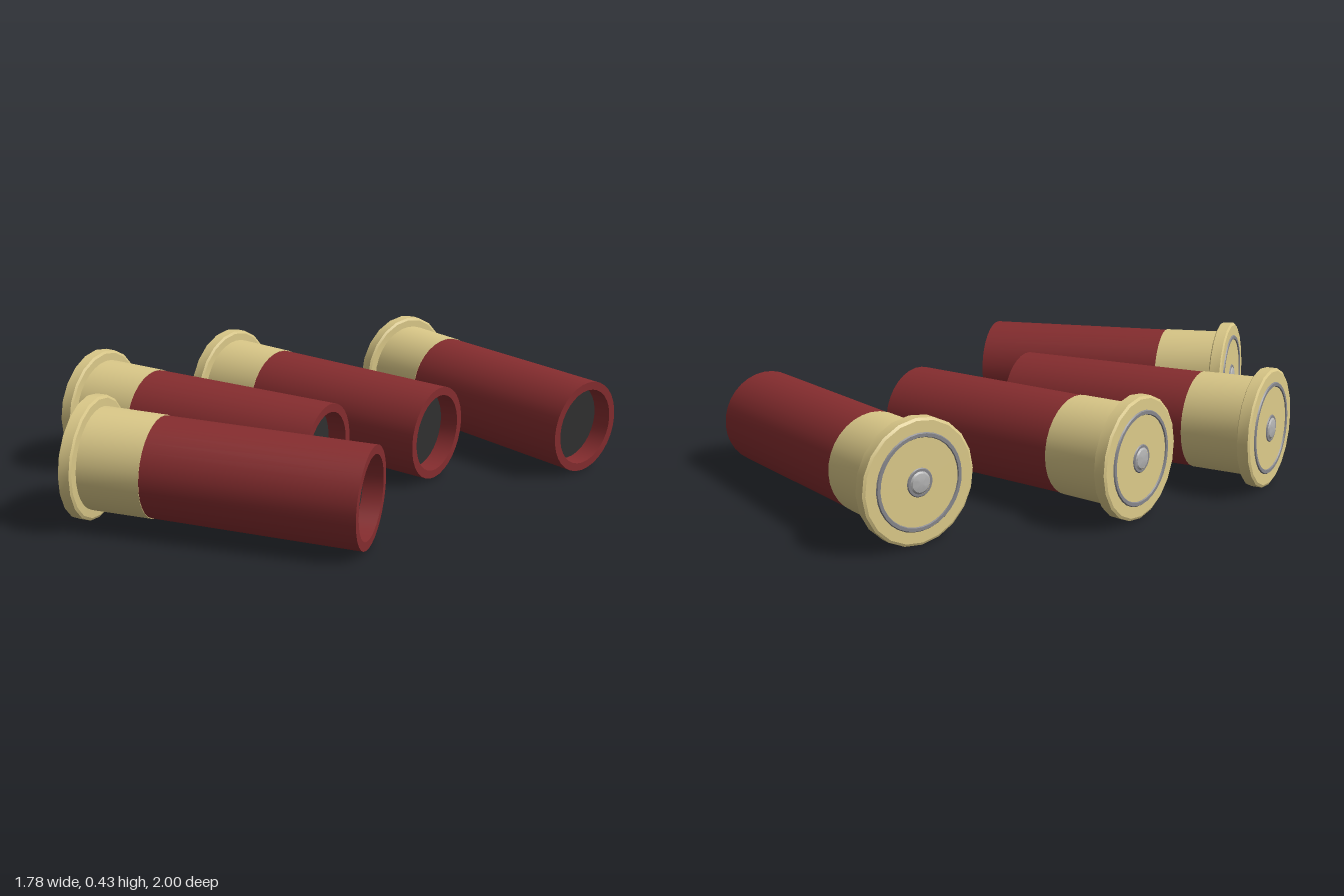
import * as THREE from 'three';
import { toCreasedNormals } from 'three/addons/utils/BufferGeometryUtils.js';

const material = (name, color) => {
  const m = new THREE.MeshStandardMaterial({ color });
  m.name = name;
  return m;
};

// Lathe around the shell's axis; y runs from base to mouth, points are [radius, y]
function turned(name, points, segments, mat) {
  const profile = points.map(([r, y]) => new THREE.Vector2(r, y));
  const geometry = toCreasedNormals(new THREE.LatheGeometry(profile, segments), 0.45);
  const mesh = new THREE.Mesh(geometry, mat);
  mesh.name = name;
  return mesh;
}

export function createModel() {
  const red = material('red plastic', 0x862d2f);
  const brass = material('brass', 0xdac888);
  const steel = material('grey ring', 0x85858a);
  const silver = material('silver primer', 0xb0b0b0);
  const dark = material('dark wad', 0x303030);

  const parts = [
    // Flat base face and flanged rim
    turned('rim', [
      [0, 0], [0.205, 0], [0.214, 0.005], [0.214, 0.043], [0.205, 0.048], [0.17, 0.05],
    ], 20, brass),
    // Brass cup
    turned('brassHead', [[0.177, 0.045], [0.175, 0.27], [0.165, 0.27]], 32, brass),
    // Hull with thick open mouth
    turned('hull', [
      [0.173, 0.26], [0.172, 1.0], [0.142, 1.0], [0.142, 0.92],
    ], 32, red),
    // Recessed wad closing the mouth
    turned('wad', [[0.143, 0.93], [0, 0.93]], 32, dark),
    // Ring on the base face
    turned('baseRing', [
      [0.148, 0.001], [0.151, -0.004], [0.162, -0.004], [0.166, 0.001],
    ], 32, steel),
    // Primer collar and domed primer
    turned('primerCollar', [[0.038, -0.003], [0.046, -0.003], [0.05, 0.001]], 24, steel),
    turned('primer', [
      [0, -0.011], [0.018, -0.01], [0.032, -0.007], [0.039, -0.001],
    ], 24, silver),
  ];

  // Base centre x, z and yaw of each shell
  const placements = [
    [-0.105, -0.803, -0.371],
    [-0.62, -0.25, -0.135],
    [-0.885, 0.262, 0],
    [-0.527, 0.785, 0.173],
  ];

  const model = new THREE.Group();
  model.name = 'shells';
  placements.forEach(([x, z, yaw], i) => {
    const shell = new THREE.Group();
    shell.name = `shell${i + 1}`;
    parts.forEach((part) => shell.add(part.clone()));
    // Lies on its wide rim, mouth dipping slightly to the ground
    shell.rotation.set(0, yaw, -Math.PI / 2 - 0.04, 'YZX');
    shell.position.set(x, 0.215, z);
    model.add(shell);
  });
  return model;
}
